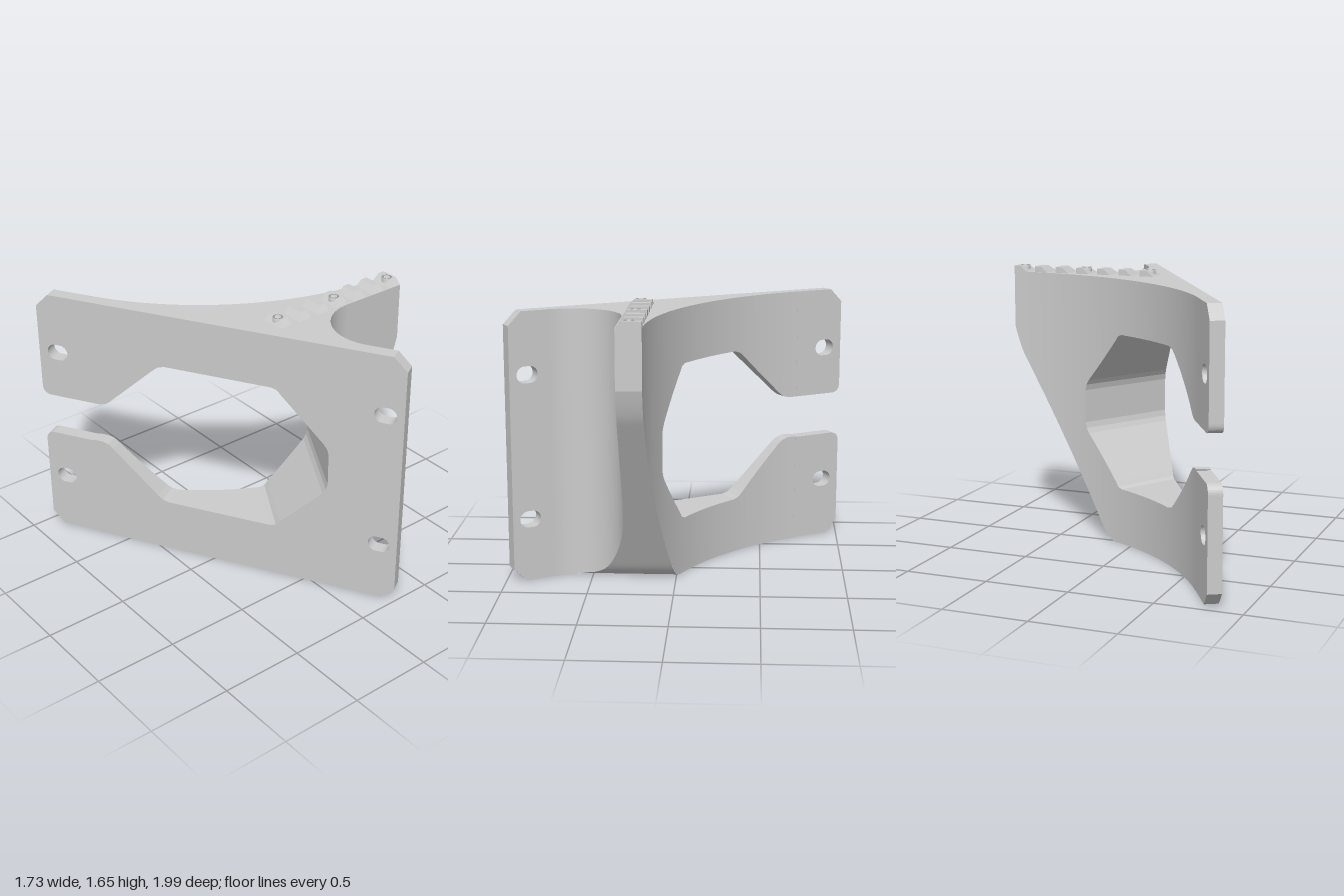
import * as THREE from 'three';

const H = 1.61, MID = 0.81, THICK = 0.081, LEN = 2.25;
const T0 = 0.3235, T1 = 1.9926;              // where the flat mounting flanges end
const R = 1.73, CX = 0.86, CZ = -1.585;      // big back arc
const r = 0.29, FX = 0.448, FZ = 0.58;       // front fillet between plate and arm
const S = Math.sqrt(3) / 2;
const mat = new THREE.MeshStandardMaterial({ color: 0xcccccc, side: THREE.DoubleSide });

// plate frame: t along the plate, d away from its flat face -> [x, z]
const plate = (t, d) => [-0.87 + 0.5 * t + S * d, -0.96 + S * t - 0.5 * d];
const backArc = a => [CX - R * Math.sin(a), CZ + R * Math.cos(a)];
const backZ = x => CZ + Math.sqrt(R * R - (CX - x) ** 2);

// height of the sloping underside of the arm, rounded at both ends
function under(x) {
  const l = (x - 0.176) / 0.57;
  if (l < -0.1) return 0;
  if (l < 0.1) return (l + 0.1) ** 2 / 0.4;
  return l + (x > 0.79 ? 0.07 * ((x - 0.79) / 0.07) ** 2 : 0);
}

// half-height of the window along the plate
const corners = [[T0, .13], [.38, .13], [.42, .142], [.45, .165], [.74, .435], [.77, .458], [.81, .47],
  [1.47, .47], [1.505, .458], [1.53, .43], [1.79, .165], [1.81, .135], [1.82, .1], [1.82, 0]];
const windowEdge = [];
corners.forEach(([t, h], i) => {
  const [t2, h2] = corners[i + 1] || [t, h];
  const n = Math.max(1, Math.ceil((t2 - t) / 0.04));
  for (let k = 0; k < n; k++) windowEdge.push([t + (t2 - t) * k / n, h + (h2 - h) * k / n]);
});

// angle on the back arc where a window edge comes out; the far end of the window slants
function exitAngle(t) {
  const slant = 0.577 * THREE.MathUtils.clamp((t - 0.9) / 0.5, 0, 1);
  let lo = 0, hi = Math.PI / 3;
  for (let i = 0; i < 40; i++) {
    const a = (lo + hi) / 2, [x, z] = backArc(a);
    const pt = 0.5 * (x + 0.87) + S * (z + 0.96), pd = S * (x + 0.87) - 0.5 * (z + 0.96);
    if (pt + slant * pd > t) lo = a; else hi = a;
  }
  return (lo + hi) / 2;
}

function grid(rows, flip) {
  if (flip) rows = [...rows].reverse();
  const m = rows[0].length, index = [];
  for (let i = 0; i < rows.length - 1; i++) for (let j = 0; j < m - 1; j++) {
    const a = i * m + j, b = a + m;
    index.push(a, b, a + 1, b, b + 1, a + 1);
  }
  const g = new THREE.BufferGeometry();
  g.setAttribute('position', new THREE.Float32BufferAttribute(rows.flat(2), 3));
  g.setIndex(index);
  g.computeVertexNormals();
  return g;
}

function cap(points, y, up) {
  const s = up ? -1 : 1;
  const g = new THREE.ShapeGeometry(new THREE.Shape(points.map(([x, z]) => new THREE.Vector2(x, s * z))));
  return g.rotateX(s * Math.PI / 2).translate(0, y, 0);
}

// flange piece drawn in (t, y), with slotted screw holes
function flange(draw, holes) {
  const shape = new THREE.Shape();
  draw(shape);
  for (const [t, y] of holes) {
    const p = new THREE.Path();
    p.absarc(t + 0.015, y, 0.05, -Math.PI / 2, Math.PI / 2);
    p.absarc(t - 0.015, y, 0.05, Math.PI / 2, Math.PI * 1.5);
    p.closePath();
    shape.holes.push(p);
  }
  const g = new THREE.ExtrudeGeometry(shape, { depth: THICK, bevelEnabled: false, curveSegments: 12 });
  const [x, z] = plate(0, THICK);
  return g.applyMatrix4(new THREE.Matrix4().set(
    0.5, 0, -S, x,
    0, 1, 0, 0,
    S, 0, 0.5, z,
    0, 0, 0, 1));
}

export function createModel() {
  const model = new THREE.Group();
  const add = (name, geometry) => {
    const mesh = new THREE.Mesh(geometry, mat);
    mesh.name = name;
    model.add(mesh);
    return mesh;
  };

  // end flanges
  for (const [name, m] of [['upperSlotFlange', y => y], ['lowerSlotFlange', y => 2 * MID - 0.005 - y]]) {
    const top = H, k = y => Math.max(0, m(y));
    add(name, flange(s => {
      s.moveTo(T0, k(0.94));
      s.lineTo(T0, k(top));
      s.lineTo(0.08, k(top));
      s.lineTo(0, k(top - 0.08));
      s.lineTo(0, k(1.0));
      s.quadraticCurveTo(0, k(0.94), 0.06, k(0.94));
      s.closePath();
    }, [[0.12, m(1.24)]]));
  }
  add('solidFlange', flange(s => {
    s.moveTo(T1, 0);
    s.lineTo(LEN - 0.08, 0);
    s.lineTo(LEN, 0.08);
    s.lineTo(LEN, H - 0.08);
    s.lineTo(LEN - 0.08, H);
    s.lineTo(T1, H);
    s.closePath();
  }, [[2.14, 1.24], [2.14, 0.375]]));

  // flat face and curved back, each as a strip below and above the window
  const faceCols = windowEdge.map(([t, h]) => ({ p: plate(t, 0), h, y0: 0 }));
  faceCols.push({ p: plate(T1, 0), h: 0, y0: 0 });
  const backCols = windowEdge.map(([t, h]) => {
    const p = backArc(exitAngle(t));
    return { p, h, y0: under(p[0]) };
  });
  const aEnd = exitAngle(1.82);
  for (let i = 1; i <= 40; i++) {
    const p = backArc(aEnd * (1 - i / 40));
    backCols.push({ p, h: 0, y0: under(p[0]) });
  }
  for (const [name, cols, flip] of [['flatFace', faceCols, false], ['curvedBack', backCols, true]]) {
    add(name + 'Lower', grid(cols.map(({ p: [x, z], h, y0 }) =>
      [[x, y0, z], [x, Math.max(MID - h, y0), z]]), flip));
    add(name + 'Upper', grid(cols.map(({ p: [x, z], h, y0 }) =>
      [[x, Math.max(MID + h, y0), z], [x, H, z]]), flip));
  }

  // window walls
  for (const s of [-1, 1]) {
    const g = grid(windowEdge.map(([, h], i) => [faceCols[i], backCols[i]].map(
      ({ p: [x, z] }) => [x, MID + s * h, z])), s > 0).toNonIndexed();
    g.computeVertexNormals();
    add(s > 0 ? 'windowTopWall' : 'windowBottomWall', g);
  }

  // front of the arm with its fillet into the plate
  const fillet = [];
  for (let i = 0; i <= 36; i++) {
    const a = Math.PI / 2 + i / 36 * Math.PI * 2 / 3;
    fillet.push([FX + r * Math.cos(a), FZ - r * Math.sin(a)]);
  }
  const armFront = [];
  for (let i = 0; i < 20; i++) armFront.push([CX + (FX - CX) * i / 20, FZ - r]);
  armFront.push(...fillet);
  add('armFront', grid(armFront.map(([x, z]) => [[x, z > FZ ? 0 : under(x), z], [x, H, z]]), true));
  add('armTip', grid([FZ - r, CZ + R].map(z => [[CX, under(CX), z], [CX, H, z]])));

  // sloping underside of the arm
  const slope = [], x0 = 0.119;
  for (let i = 0; i <= 70; i++) {
    const x = x0 + (CX - x0) * i / 70;
    const zf = x < FX - r ? FZ : x < FX ? FZ - Math.sqrt(r * r - (x - FX) ** 2) : FZ - r;
    slope.push([[x, under(x), backZ(x)], [x, under(x), zf]]);
  }
  add('armUnderside', grid(slope));

  // flat top and bottom
  const arc = [];
  for (let i = 0; i <= 60; i++) arc.push(backArc(Math.PI / 3 * (1 - i / 60)));
  const seam = [plate(T1, 0), plate(T0, 0)];
  add('topFace', cap([...arc, ...armFront, ...seam], H, true));
  add('bottomFace', cap([...arc.filter(p => p[0] < x0), [x0, backZ(x0)], [x0, FZ],
    ...fillet.filter(p => p[1] > FZ - 1e-6), ...seam], 0, false));

  // rail teeth, sloped on one side and at the front
  for (let i = 0; i < 7; i++) {
    const g = new THREE.BoxGeometry(0.082, 0.035, 0.14).toNonIndexed();
    const p = g.attributes.position;
    for (let k = 0; k < p.count; k++) if (p.getY(k) > 0) {
      if (p.getX(k) < 0) p.setX(k, -0.001);
      if (p.getZ(k) > 0) p.setZ(k, 0.037);
    }
    g.computeVertexNormals();
    const x = -0.011 + i * 0.1385;
    add('railTooth', g).position.set(x, H + 0.0175, 0.216);
    // hollow pin on every third tooth
    if (i % 3 === 0) {
      const ring = [[0.03, 0], [0.03, 0.036], [0.02, 0.036], [0.02, 0.0]].map(q => new THREE.Vector2(...q));
      add('railPin', new THREE.LatheGeometry(ring, 20)).position.set(x, H, 0.216);
    }
  }
  return model;
}
